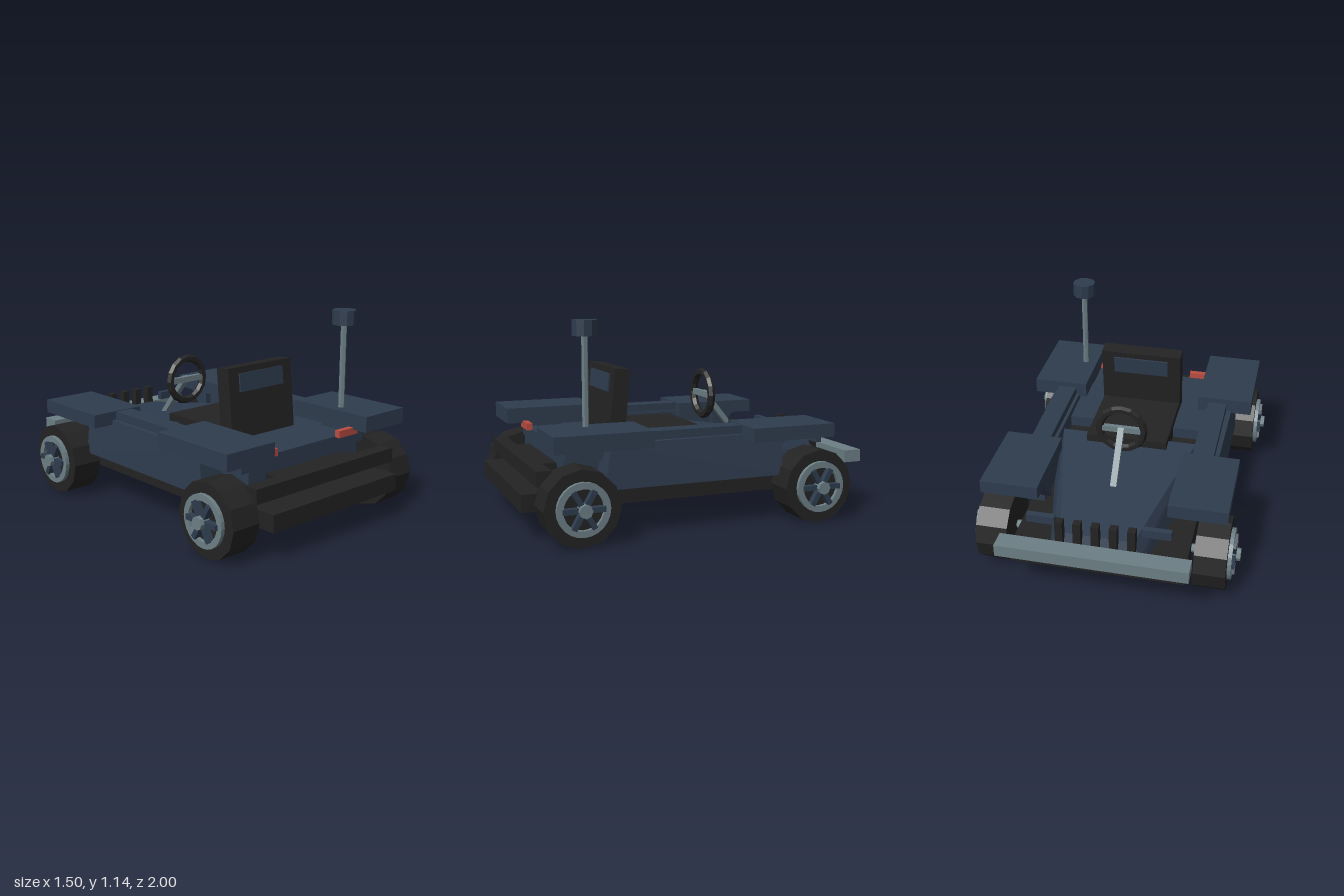
import * as THREE from 'three';
import { ConvexGeometry } from 'three/addons/geometries/ConvexGeometry.js';

const material = (name, color) => {
  const m = new THREE.MeshStandardMaterial({ color });
  m.name = name;
  m.flatShading = true;
  return m;
};

export function createModel() {
  const navy = material('navy', 0x2e3c4e);
  const black = material('black', 0x232323);
  const steel = material('steel', 0x6c7f85);
  const red = material('red', 0xb94c40);

  const model = new THREE.Group();
  model.name = 'buggy';

  const add = (name, geometry, mat, parent = model) => {
    const mesh = new THREE.Mesh(geometry, mat);
    mesh.name = name;
    parent.add(mesh);
    return mesh;
  };
  // Box given by its limits on each axis
  const box = (name, mat, [x0, x1], [y0, y1], [z0, z1], parent) => {
    const g = new THREE.BoxGeometry(x1 - x0, y1 - y0, z1 - z0);
    g.translate((x0 + x1) / 2, (y0 + y1) / 2, (z0 + z1) / 2);
    return add(name, g, mat, parent);
  };
  const span = (s, a, b) => (s > 0 ? [a, b] : [-b, -a]);
  // Convex solid from corner points, mirrored by s
  const solid = (name, mat, points, s = 1) =>
    add(name, new ConvexGeometry(points.map(([x, y, z]) => new THREE.Vector3(x * s, y, z))), mat);
  const both = (points) => points.flatMap(([x, y, z]) => [[x, y, z], [-x, y, z]]);

  // Chassis and bumpers
  box('chassis', black, [-0.48, 0.48], [0.16, 0.255], [-0.88, 1]);
  box('rearBumper', black, [-0.53, 0.53], [0.3, 0.38], [0.85, 0.93]);
  box('rearBumperMount', black, [-0.3, 0.3], [0.31, 0.37], [0.75, 0.86]);
  box('frontBumper', steel, [-0.52, 0.52], [0.285, 0.355], [-1, -0.895]);

  // Body: rear deck, cockpit floor and tapered sloping hood
  solid('rearDeck', navy, both([
    [0.42, 0.255, 0.14], [0.42, 0.255, 0.76], [0.42, 0.465, 0.14], [0.42, 0.465, 0.76],
  ]));
  box('cockpitFloor', black, [-0.41, 0.41], [0.255, 0.4], [-0.02, 0.15]);
  solid('hood', navy, both([
    [0.4, 0.475, -0.02], [0.41, 0.4, 0.02], [0.41, 0.255, 0.02],
    [0.41, 0.255, -0.22], [0.2, 0.37, -0.84], [0.25, 0.255, -0.88], [0.24, 0.29, -0.87],
  ]));

  for (let i = -2; i <= 2; i++) {
    box('grilleBar', black, [i * 0.098 - 0.021, i * 0.098 + 0.021], [0.305, 0.47], [-0.885, -0.84]);
  }

  for (const s of [1, -1]) {
    // Side pods with raised rails
    solid('sidePod', navy, [
      [0.4, 0.26, -0.46], [0.575, 0.26, -0.46], [0.4, 0.5, -0.46], [0.55, 0.5, -0.46],
      [0.4, 0.26, 0.58], [0.575, 0.26, 0.58], [0.4, 0.5, 0.54], [0.565, 0.5, 0.54],
    ], s);
    box('sideRail', navy, span(s, 0.42, 0.53), [0.49, 0.547], [-0.23, 0.35]);

    // Fenders and their brackets
    box('rearFender', navy, span(s, 0.355, 0.68), [0.488, 0.577], [0.345, 0.878]);
    box('rearFenderBracket', navy, span(s, 0.36, 0.47), [0.4, 0.49], [0.55, 0.76]);
    box('frontFender', navy, span(s, 0.355, 0.678), [0.474, 0.55], [-0.722, -0.225]);
    solid('frontFenderBracket', navy, [
      [0.36, 0.475, -0.6], [0.42, 0.475, -0.6], [0.36, 0.475, -0.46], [0.42, 0.475, -0.46],
      [0.36, 0.3, -0.46], [0.42, 0.3, -0.46],
    ], s);

    // Lamps
    box('tailLight', red, span(s, 0.24, 0.393), [0.46, 0.5], [0.755, 0.788]);
    box('headlamp', navy, span(s, 0.24, 0.395), [0.39, 0.438], [-0.812, -0.778]);
  }

  // Seat, leaning slightly, with a pad showing on both faces of the back
  box('seatCushion', black, [-0.237, 0.237], [0.38, 0.512], [-0.1, 0.4]);
  const seatBack = new THREE.Group();
  seatBack.name = 'seatBack';
  seatBack.position.set(0, 0.655, 0.38);
  seatBack.rotation.x = -0.1;
  model.add(seatBack);
  box('backrest', black, [-0.24, 0.24], [-0.2, 0.197], [-0.045, 0.045], seatBack);
  box('headPad', navy, [-0.165, 0.165], [0.06, 0.162], [-0.054, 0.054], seatBack);

  // Steering wheel, crossbar and column
  add('steeringWheel', new THREE.TorusGeometry(0.128, 0.023, 6, 16), black).position.set(0, 0.66, -0.225);
  box('steeringCrossbar', steel, [-0.12, 0.12], [0.643, 0.677], [-0.238, -0.212]);
  const from = new THREE.Vector3(0, 0.67, -0.23);
  const to = new THREE.Vector3(0, 0.385, -0.46);
  const column = add('steeringColumn', new THREE.BoxGeometry(0.036, 0.03, from.distanceTo(to)), steel);
  column.position.copy(from).lerp(to, 0.5);
  column.lookAt(to);

  // Antenna
  add('antennaPole', new THREE.CylinderGeometry(0.018, 0.018, 0.62, 6), steel).position.set(0.427, 0.76, 0.635);
  add('antennaHead', new THREE.CylinderGeometry(0.068, 0.068, 0.082, 10), navy).position.set(0.427, 1.095, 0.635);

  // Wheels: axle along x, outer face toward +x
  const disc = (name, mat, r, x0, x1, sides, parent) => {
    const g = new THREE.CylinderGeometry(r, r, x1 - x0, sides);
    g.rotateZ(-Math.PI / 2);
    g.translate((x0 + x1) / 2, 0, 0);
    return add(name, g, mat, parent);
  };
  const ringShape = new THREE.Shape().absarc(0, 0, 0.142, 0, Math.PI * 2);
  ringShape.holes.push(new THREE.Path().absarc(0, 0, 0.107, 0, Math.PI * 2, true));
  const ring = new THREE.ExtrudeGeometry(ringShape, { depth: 0.026, bevelEnabled: false, curveSegments: 12 });
  ring.rotateY(Math.PI / 2);
  ring.translate(0.686, 0, 0);

  for (const z of [-0.625, 0.735]) {
    const axle = disc('axle', steel, 0.024, -0.53, 0.53, 8, model);
    axle.position.set(0, 0.205, z);
    for (const s of [1, -1]) {
      const wheel = new THREE.Group();
      wheel.name = 'wheel';
      wheel.position.set(0, 0.205, z);
      wheel.rotation.y = s > 0 ? 0 : Math.PI;
      model.add(wheel);
      disc('tire', black, 0.205, 0.515, 0.69, 12, wheel);
      add('rim', ring, steel, wheel);
      disc('hub', steel, 0.036, 0.69, 0.75, 8, wheel);
      for (let i = 0; i < 6; i++) {
        const spoke = box('spoke', navy, [0.69, 0.727], [0.02, 0.112], [-0.014, 0.014], wheel);
        spoke.rotation.x = (i + 0.5) * Math.PI / 3;
      }
    }
  }
  return model;
}
